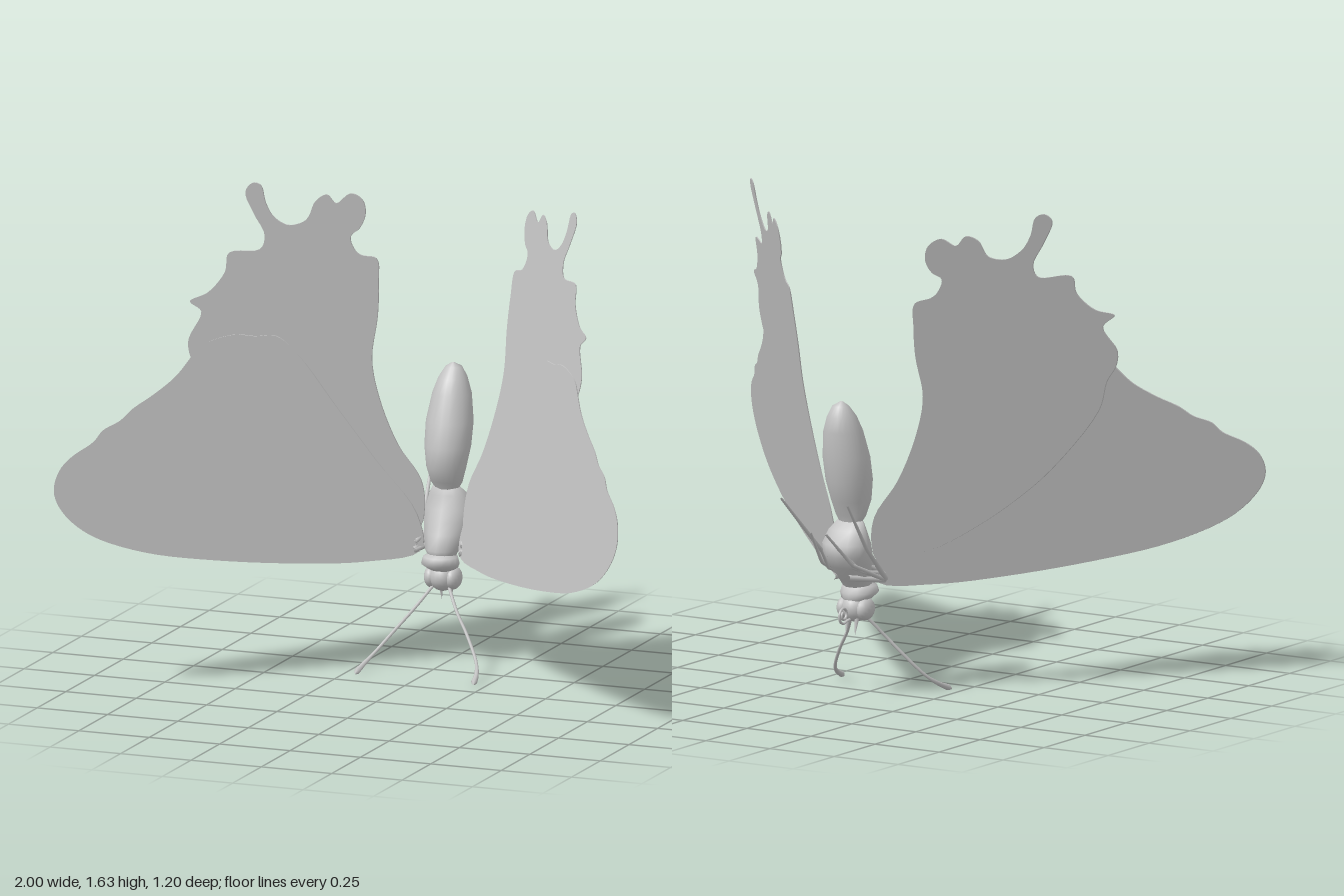
import * as THREE from 'three';
import { mergeVertices } from 'three/addons/utils/BufferGeometryUtils.js';

const grey = new THREE.MeshStandardMaterial({ color: 0xc4c4c4 });
grey.name = 'grey';

function add(parent, geometry, name) {
  const mesh = new THREE.Mesh(geometry, grey);
  mesh.name = name;
  parent.add(mesh);
  return mesh;
}

// Body section from rows of [y, zFront, zBack, half width], top to bottom
function loft(rows, sides = 20) {
  const g = new THREE.CylinderGeometry(1, 1, 1, sides, rows.length - 1, true);
  const p = g.attributes.position;
  for (let i = 0; i < p.count; i++) {
    const [y, front, back, w] = rows[Math.round((0.5 - p.getY(i)) * (rows.length - 1))];
    p.setXYZ(i, p.getX(i) * w, y, (front + back) / 2 + p.getZ(i) * (front - back) / 2);
  }
  g.deleteAttribute('normal');
  g.deleteAttribute('uv');
  const merged = mergeVertices(g);
  merged.computeVertexNormals();
  return merged;
}

// Thin plate lying in the tilted wing plane; s is the side of the body
function wing(points, s, offset) {
  const curve = new THREE.CatmullRomCurve3(
    points.map(([x, y]) => new THREE.Vector3(x, y, 0)), true, 'centripetal');
  const outline = curve.getPoints(points.length * 5).slice(0, -1)
    .map(v => new THREE.Vector2(v.x * s, v.y));
  const g = new THREE.ExtrudeGeometry(new THREE.Shape(outline), { depth: 0.006, bevelEnabled: false });
  const p = g.attributes.position;
  for (let i = 0; i < p.count; i++) {
    const x = Math.abs(p.getX(i)), y = p.getY(i);
    p.setZ(i, p.getZ(i) + offset - 0.29 + 1.057 * x - 0.238 * y);
  }
  g.computeVertexNormals();
  return g;
}

// Tube through points, straight between them or curved, tapered by radius(t)
function limb(points, s, radius, straight = false, steps = 24) {
  const v = points.map(([x, y, z]) => new THREE.Vector3(x * s, y, z));
  let curve = new THREE.CatmullRomCurve3(v);
  if (straight) {
    curve = new THREE.CurvePath();
    for (let i = 1; i < v.length; i++) curve.add(new THREE.LineCurve3(v[i - 1], v[i]));
  }
  const sides = 7;
  const g = new THREE.TubeGeometry(curve, steps, 1, sides, false);
  const p = g.attributes.position;
  const c = new THREE.Vector3(), q = new THREE.Vector3();
  for (let i = 0; i < p.count; i++) {
    const t = Math.floor(i / (sides + 1)) / steps;
    curve.getPointAt(t, c);
    q.fromBufferAttribute(p, i).sub(c).multiplyScalar(radius(t)).add(c);
    p.setXYZ(i, q.x, q.y, q.z);
  }
  return g;
}

const FOREWING = [
  [0.07, 0.39], [0.2, 0.375], [0.36, 0.39], [0.58, 0.43], [0.76, 0.48], [0.9, 0.555],
  [0.975, 0.64], [1, 0.71], [0.99, 0.775], [0.962, 0.815], [0.912, 0.855], [0.89, 0.89],
  [0.85, 0.915], [0.82, 0.95], [0.77, 0.99], [0.72, 1.04], [0.69, 1.09], [0.67, 1.125],
  [0.64, 1.143], [0.58, 1.155], [0.53, 1.143], [0.48, 1.138], [0.42, 1.07], [0.31, 0.885],
  [0.2, 0.7], [0.085, 0.51]];

const HINDWING = [
  [0.08, 0.47], [0.206, 0.496], [0.32, 0.57], [0.423, 0.66], [0.511, 0.757], [0.637, 0.95],
  [0.665, 1.05], [0.69, 1.1], [0.698, 1.155], [0.672, 1.24], [0.703, 1.278], [0.66, 1.3],
  [0.622, 1.36], [0.615, 1.422], [0.54, 1.422], [0.53, 1.465], [0.562, 1.54], [0.588, 1.615],
  [0.572, 1.64], [0.552, 1.63], [0.535, 1.57], [0.51, 1.52], [0.47, 1.49], [0.43, 1.502],
  [0.41, 1.56], [0.385, 1.577], [0.358, 1.545], [0.326, 1.572], [0.295, 1.55], [0.283, 1.5],
  [0.295, 1.455], [0.315, 1.433], [0.3, 1.385], [0.283, 1.368], [0.246, 1.353], [0.235, 1.27],
  [0.23, 1.165], [0.235, 1.03], [0.208, 0.9], [0.15, 0.74], [0.085, 0.62], [0.07, 0.52]];

// Each leg: hip, knee, ankle, foot
const LEGS = [
  ['hindLeg', [0.04, 0.46, -0.42], [0.09, 0.4, -0.29], [0.1, 0.53, -0.43], [0.13, 0.7, -0.59]],
  ['middleLeg', [0.03, 0.42, -0.43], [0.085, 0.395, -0.28], [0.06, 0.47, -0.45], [0.03, 0.59, -0.565]],
  ['frontLeg', [0.03, 0.5, -0.45], [0.085, 0.42, -0.29], [0.065, 0.44, -0.4], [0.035, 0.53, -0.5]]];

export function createModel() {
  const model = new THREE.Group();
  model.name = 'butterfly';

  // Body
  add(model, loft([
    [1.01, -0.42, -0.425, 0.003], [0.995, -0.4, -0.455, 0.028], [0.96, -0.37, -0.472, 0.048],
    [0.91, -0.345, -0.48, 0.065], [0.82, -0.315, -0.47, 0.079], [0.74, -0.295, -0.455, 0.077],
    [0.67, -0.295, -0.43, 0.066], [0.62, -0.33, -0.4, 0.055], [0.58, -0.35, -0.39, 0.03]]), 'abdomen');
  add(model, loft([
    [0.625, -0.36, -0.375, 0.01], [0.6, -0.342, -0.395, 0.05], [0.575, -0.338, -0.43, 0.068],
    [0.53, -0.32, -0.462, 0.084], [0.49, -0.305, -0.46, 0.083], [0.45, -0.29, -0.435, 0.075],
    [0.4, -0.27, -0.39, 0.058], [0.375, -0.285, -0.37, 0.045]], 12), 'thorax');
  add(model, loft([
    [0.39, -0.29, -0.34, 0.03], [0.378, -0.255, -0.37, 0.058], [0.355, -0.245, -0.378, 0.064],
    [0.338, -0.275, -0.38, 0.052], [0.325, -0.3, -0.37, 0.035]], 14), 'collar');
  const head = add(model, new THREE.SphereGeometry(1, 18, 12), 'head');
  head.scale.set(0.046, 0.048, 0.052);
  head.position.set(0, 0.305, -0.335);

  // Coiled feeding tube under the head
  const coil = [[0, 0.27, -0.37]];
  for (let i = 0; i <= 16; i++) {
    const a = -2.2 + i * 0.6, r = 0.03 - i * 0.0013;
    coil.push([0, 0.29 + r * Math.sin(a), -0.41 - r * Math.cos(a)]);
  }
  add(model, limb(coil, 1, () => 0.0045, false, 60), 'proboscis');

  for (const s of [1, -1]) {
    const side = new THREE.Group();
    side.name = s > 0 ? 'leftSide' : 'rightSide';
    model.add(side);

    add(side, wing(FOREWING, s, 0.001), 'forewing');
    add(side, wing(HINDWING, s, -0.007), 'hindwing');

    const eye = add(side, new THREE.SphereGeometry(1, 16, 12), 'eye');
    eye.scale.set(0.026, 0.038, 0.042);
    eye.position.set(0.038 * s, 0.303, -0.335);

    // Mouth feelers
    const palp = add(side, new THREE.ConeGeometry(0.013, 0.09, 8), 'palp');
    palp.position.set(0.018 * s, 0.26, -0.36);
    palp.rotation.x = Math.PI + 0.2;

    // Antenna with a clubbed end
    const shaft = t => (t > 0.99 ? 0.003 : 0.0055 + 0.006 * Math.max(0, (t - 0.75) / 0.25));
    add(side, limb([[0.025, 0.28, -0.32], [0.075, 0.205, -0.27], [0.125, 0.14, -0.235],
      [0.18, 0.065, -0.18], [0.2, 0.035, -0.135], [0.21, 0.012, -0.08]], s, shaft), 'antenna');

    for (const [name, ...joints] of LEGS) {
      add(side, limb(joints, s, t => 0.011 - 0.007 * t, true, 30), name);
    }
  }
  return model;
}
